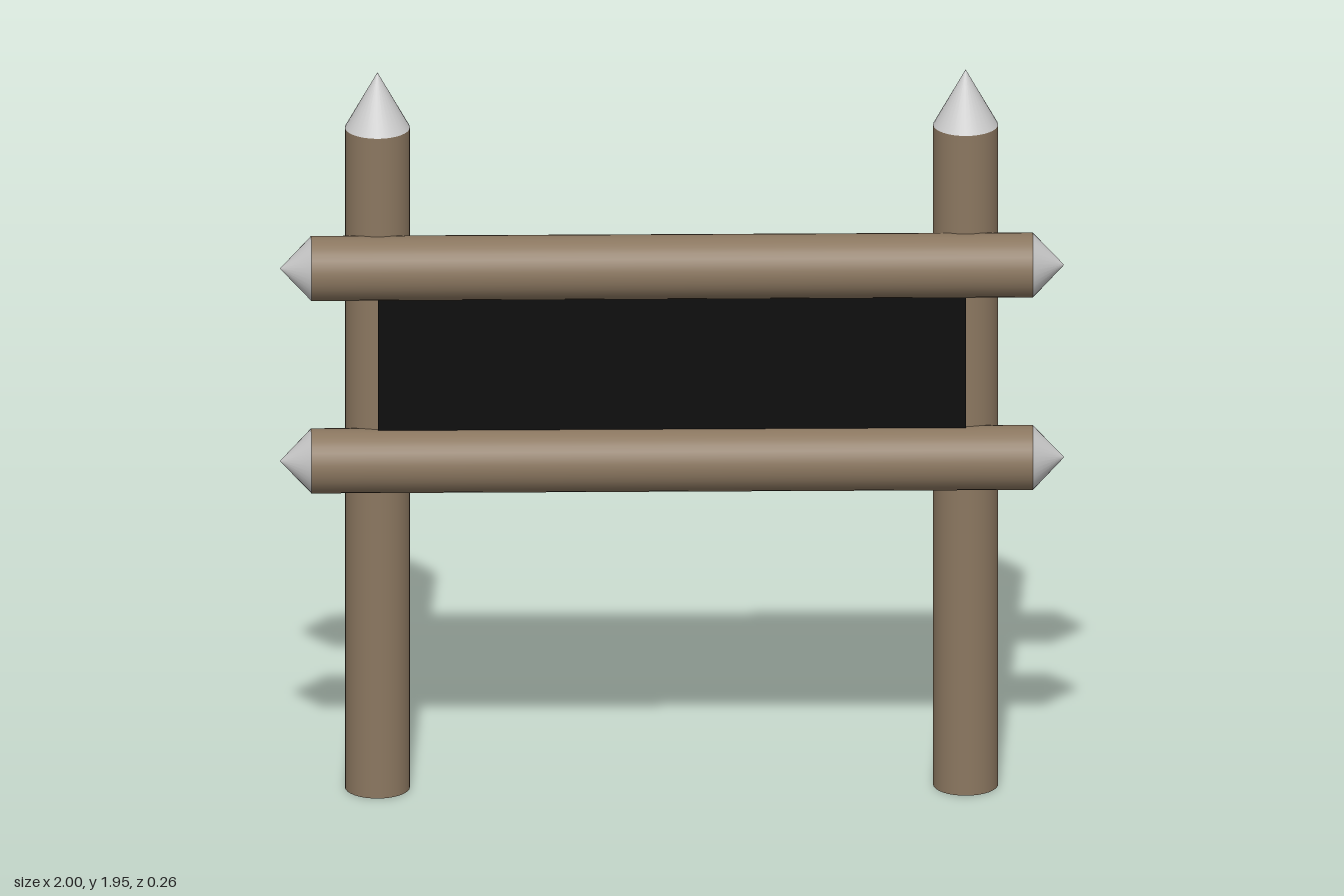
import * as THREE from 'three';

const RADIUS = 0.083;

export function createModel() {
  const wood = new THREE.MeshStandardMaterial({ color: 0x8b7760 });
  wood.name = 'brown wood';
  const tip = new THREE.MeshStandardMaterial({ color: 0xcccccc });
  tip.name = 'light grey tip';
  const black = new THREE.MeshStandardMaterial({ color: 0x0c0c0c });
  black.name = 'black board';

  const model = new THREE.Group();
  model.name = 'signFrame';

  const add = (parent, name, geometry, material, x, y, z) => {
    const mesh = new THREE.Mesh(geometry, material);
    mesh.name = name;
    mesh.position.set(x, y, z);
    parent.add(mesh);
    return mesh;
  };

  // Upright posts with pointed caps
  const postGeo = new THREE.CylinderGeometry(RADIUS, RADIUS, 1.8, 32);
  const postTipGeo = new THREE.ConeGeometry(RADIUS, 0.15, 32, 1, true);
  for (const [side, x] of [['left', 0.75], ['right', -0.75]]) {
    const post = new THREE.Group();
    post.name = `${side}Post`;
    post.position.set(x, 0, -0.045);
    add(post, 'postShaft', postGeo, wood, 0, 0.9, 0);
    add(post, 'postTip', postTipGeo, tip, 0, 1.875, 0);
    model.add(post);
  }

  // Horizontal rails with a short point at each end
  const railGeo = new THREE.CylinderGeometry(RADIUS, RADIUS, 1.84, 32).rotateZ(Math.PI / 2);
  const railTipGeo = new THREE.ConeGeometry(RADIUS, 0.08, 32, 1, true).rotateZ(-Math.PI / 2);
  for (const [level, y] of [['upper', 1.45], ['lower', 0.925]]) {
    const rail = new THREE.Group();
    rail.name = `${level}Rail`;
    rail.position.set(0, y, 0.045);
    add(rail, 'railShaft', railGeo, wood, 0, 0, 0);
    add(rail, 'leftRailTip', railTipGeo, tip, 0.96, 0, 0);
    add(rail, 'rightRailTip', railTipGeo, tip, -0.96, 0, 0).rotation.y = Math.PI;
    model.add(rail);
  }

  // Board between the rails: black face with a wooden back
  add(model, 'boardFace', new THREE.BoxGeometry(1.5, 0.46, 0.008), black, 0, 1.1875, 0.044);
  add(model, 'boardBack', new THREE.BoxGeometry(1.5, 0.46, 0.004), wood, 0, 1.1875, 0.038);

  return model;
}
